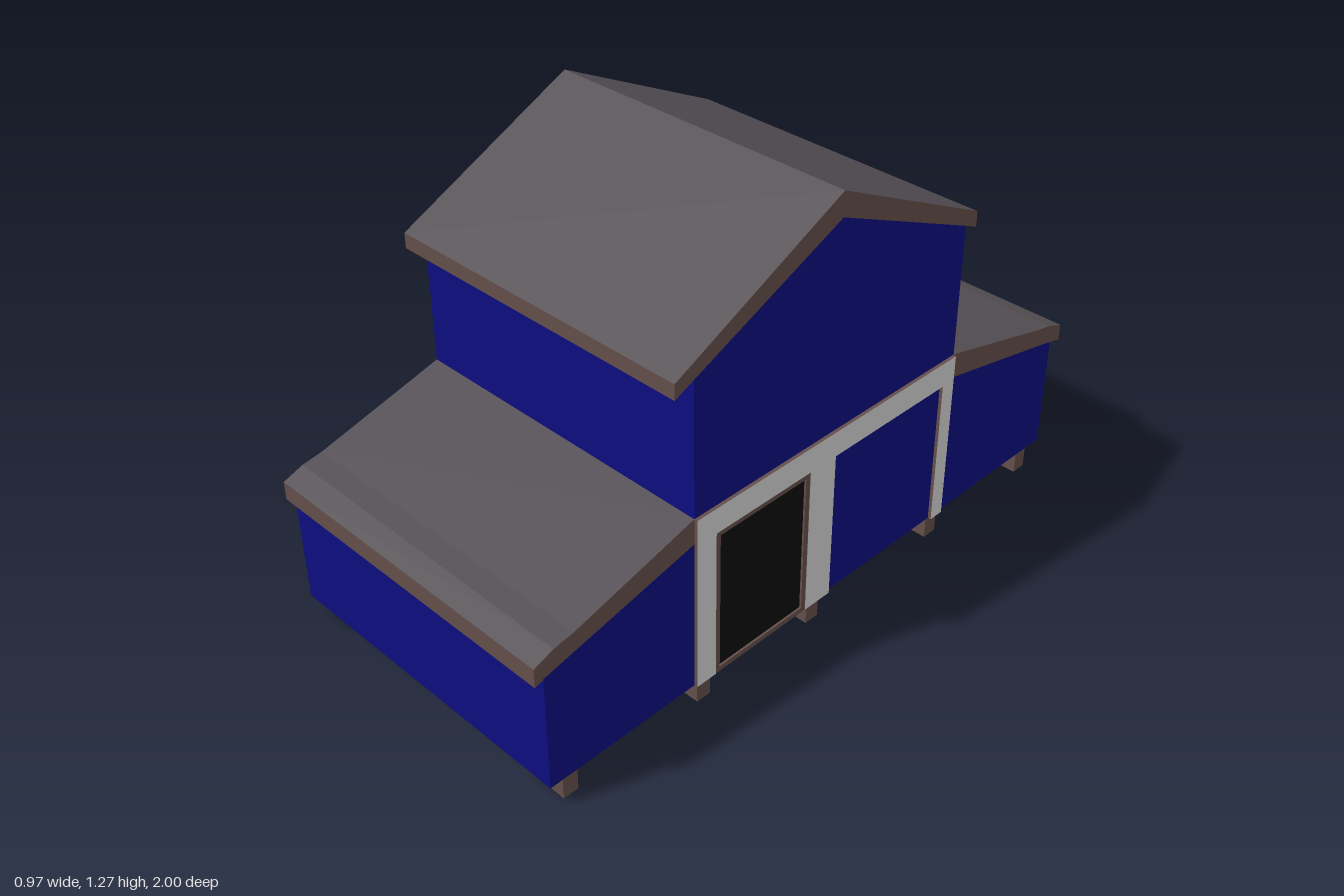
import * as THREE from 'three';

const mat = (name, color) => Object.assign(new THREE.MeshStandardMaterial({ color }), { name });
const X0 = -0.485, X1 = 0.475;

export function createModel() {
  const barn = new THREE.Group();
  barn.name = 'barn';
  const blue = mat('blueWall', 0x0d0d80);
  const slate = mat('slateRoof', 0x544f54);
  const brown = mat('brownWood', 0x644e4a);
  const white = mat('whiteTrim', 0xd4d4d4);
  const black = mat('blackDoor', 0x0d0d0d);

  // Prism along x from a counter-clockwise [z, y] profile, with a material per edge and per end
  function prism(name, profile, x0, x1, edgeMat, rightMat, leftMat) {
    const faces = new Map();
    const add = (m, ...pts) => {
      if (!faces.has(m)) faces.set(m, []);
      pts.forEach(([x, [z, y]]) => faces.get(m).push(x, y, z));
    };
    profile.forEach((a, i) => {
      const b = profile[(i + 1) % profile.length];
      add(edgeMat(i), [x0, a], [x1, a], [x1, b], [x0, a], [x1, b], [x0, b]);
    });
    const outline = profile.map(([z, y]) => new THREE.Vector2(z, y));
    for (const [i, j, k] of THREE.ShapeUtils.triangulateShape(outline, [])) {
      const [a, b, c] = [profile[i], profile[j], profile[k]];
      add(leftMat, [x0, a], [x0, b], [x0, c]);
      add(rightMat, [x1, a], [x1, c], [x1, b]);
    }
    const geo = new THREE.BufferGeometry(), pos = [];
    [...faces.values()].forEach((list, i) => {
      geo.addGroup(pos.length / 3, list.length / 3, i);
      for (const v of list) pos.push(v);
    });
    geo.setAttribute('position', new THREE.Float32BufferAttribute(pos, 3));
    geo.computeVertexNormals();
    const mesh = new THREE.Mesh(geo, [...faces.keys()]);
    mesh.name = name;
    barn.add(mesh);
  }

  function box(name, m, x0, x1, y0, y1, z0, z1) {
    const mesh = new THREE.Mesh(new THREE.BoxGeometry(x1 - x0, y1 - y0, z1 - z0), m);
    mesh.position.set((x0 + x1) / 2, (y0 + y1) / 2, (z0 + z1) / 2);
    mesh.name = name;
    barn.add(mesh);
  }

  // Ground floor with both side wings
  prism('lowerWalls', [[-0.955, 0.07], [0.975, 0.07], [0.975, 0.415], [0.93, 0.425], [0.5, 0.52],
    [-0.48, 0.52], [-0.92, 0.425], [-0.955, 0.415]], X0, X1, () => blue, blue, blue);

  // Lean-to roofs, joined by a band below the upper storey
  prism('lowerRoof', [[-1, 0.405], [-0.92, 0.425], [-0.48, 0.52], [0.5, 0.52], [0.93, 0.425], [1, 0.405],
    [1, 0.46], [0.94, 0.482], [0.88, 0.492], [0.5, 0.595],
    [-0.48, 0.595], [-0.88, 0.49], [-0.94, 0.477], [-1, 0.455]],
  X0, X1, i => (i < 5 ? blue : i === 5 || i === 13 ? brown : slate), brown, brown);

  // Upper storey with gables
  prism('upperWalls', [[-0.48, 0.595], [0.5, 0.595], [0.5, 0.985], [0.01, 1.2], [-0.48, 0.985]],
    X0, X1, () => blue, blue, blue);

  // Gable roof: brown front eave and right gable, blue elsewhere
  prism('upperRoof', [[-0.525, 0.965], [-0.48, 0.985], [0.01, 1.2], [0.5, 0.985], [0.56, 0.958],
    [0.56, 1.002], [0.01, 1.27], [-0.525, 1.01]],
  X0, X1, i => (i === 4 ? brown : i === 5 || i === 6 ? slate : blue), brown, blue);

  // Trim around the two bays
  prism('doorTrim', [[-0.477, 0.07], [-0.43, 0.07], [-0.43, 0.52], [0.005, 0.52], [0.005, 0.07], [0.1, 0.07],
    [0.1, 0.52], [0.435, 0.52], [0.435, 0.07], [0.5, 0.07], [0.5, 0.595], [-0.477, 0.595]],
  X1, 0.485, () => brown, white, white);

  // Dark doorway and its frame
  box('doorway', black, X1, 0.478, 0.08, 0.51, 0.11, 0.425);
  box('doorFrameTop', brown, X1, 0.484, 0.506, 0.52, 0.1, 0.435);
  box('doorFrameSill', brown, X1, 0.484, 0.07, 0.085, 0.1, 0.435);
  for (const z of [0.1, 0.42]) box('doorFrameSide', brown, X1, 0.484, 0.085, 0.506, z, z + 0.015);

  // Five feet along each side
  for (const z of [0.91, 0.463, 0.054, -0.45, -0.878]) {
    for (const x of [-0.48, 0.366]) box('foot', brown, x, x + 0.104, 0, 0.07, z - 0.023, z + 0.023);
  }
  return barn;
}
